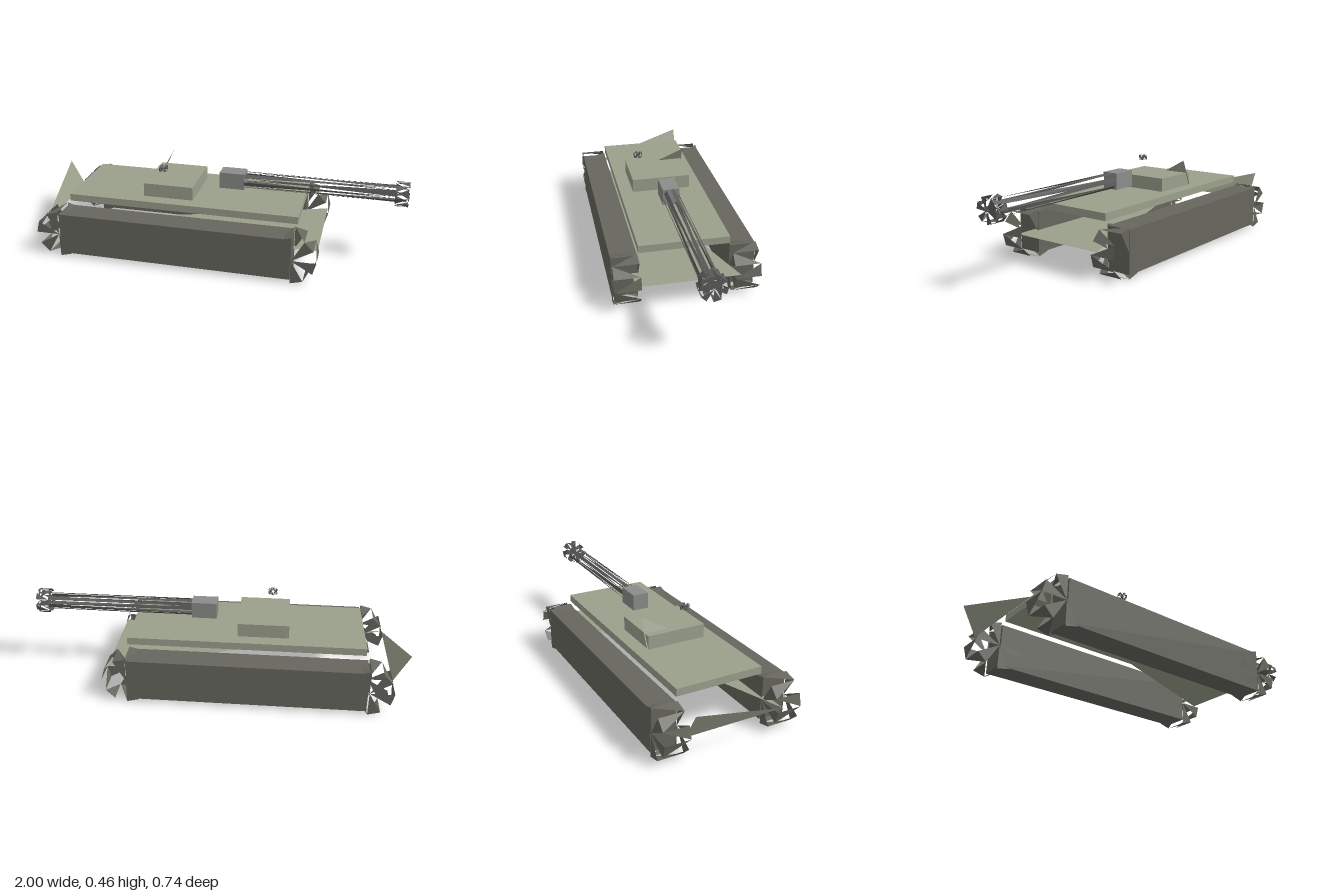
import * as THREE from 'three';

const material = (color) => new THREE.MeshStandardMaterial({ color, flatShading: true, side: THREE.DoubleSide });
const armour = material(0x9ba08c);
const trackGrey = material(0x66665e);
const gunGrey = material(0x5c5c5a);
const mantletGrey = material(0x8a8d8a);

// Box given by its min and max corners
function box(name, min, max, mat) {
  const size = max.map((v, i) => v - min[i]);
  const mesh = new THREE.Mesh(new THREE.BoxGeometry(...size), mat);
  mesh.position.set(...max.map((v, i) => (v + min[i]) / 2));
  mesh.name = name;
  return mesh;
}

function facets(name, points, mat) {
  const geo = new THREE.BufferGeometry();
  geo.setAttribute('position', new THREE.Float32BufferAttribute(points.flat(), 3));
  geo.computeVertexNormals();
  const mesh = new THREE.Mesh(geo, mat);
  mesh.name = name;
  return mesh;
}

// Open sawtooth drum along z: one triangle per side, cap sectors alternating between the ends
function jaggedDrum(name, radius, length, sides, mat, missing = []) {
  const p = (i, end) => {
    const a = (i / sides) * Math.PI * 2;
    return [Math.cos(a) * radius, Math.sin(a) * radius, end * length / 2];
  };
  const points = [];
  for (let i = 0; i < sides; i++) {
    const end = i % 2 ? 1 : -1;
    points.push(p(i, end), p(i + 1, end), p(i, -end));
    if (!missing.includes(i)) points.push([0, 0, end * length / 2], p(i, end), p(i + 1, end));
  }
  return facets(name, points, mat);
}

export function createModel() {
  const model = new THREE.Group();

  // Tracks: long box with a jagged drum at each end
  for (const side of [1, -1]) {
    const track = new THREE.Group();
    track.name = side > 0 ? 'leftTrack' : 'rightTrack';
    const z = side * 0.302;
    track.add(box('trackBody', [-0.79, 0.02, z - 0.067], [0.45, 0.245, z + 0.067], trackGrey));
    const rear = jaggedDrum('rearDrum', 0.128, 0.134, 12, trackGrey);
    rear.position.set(-0.797, 0.128, z);
    const front = jaggedDrum('frontDrum', 0.128, 0.134, 12, trackGrey, [0, 10]);
    front.position.set(0.453, 0.128, z);
    track.add(rear, front);
    model.add(track);
  }

  // Hull floor and rear plate, each a single triangle
  model.add(facets('hullFloor', [[0.575, 0.145, -0.265], [-0.92, 0.145, 0.265], [0.575, 0.145, 0.265]], armour));
  model.add(facets('rearPlate', [[-1, 0.295, -0.265], [-0.92, 0.145, 0.265], [-0.92, 0.145, -0.265]], armour));

  // Deck, turret and turret fin
  model.add(box('deck', [-0.78, 0.268, -0.232], [0.465, 0.307, 0.232], armour));
  model.add(box('turret', [-0.38, 0.307, -0.16], [-0.11, 0.38, 0.16], armour));
  model.add(facets('turretFin', [[-0.31, 0.455, -0.166], [-0.378, 0.308, -0.166], [-0.34, 0.38, -0.028]], armour));

  // Hatch floating above the turret
  const hatch = jaggedDrum('hatch', 0.025, 0.024, 10, gunGrey);
  hatch.rotation.x = -Math.PI / 2;
  hatch.position.set(-0.285, 0.452, 0.1);
  model.add(hatch);

  // Gun along +x
  model.add(box('mantlet', [0.01, 0.345, -0.045], [0.145, 0.433, 0.043], mantletGrey));
  const barrel = jaggedDrum('barrel', 0.044, 0.8, 12, gunGrey);
  barrel.position.set(0.54, 0.389, 0);
  const muzzle = jaggedDrum('muzzle', 0.065, 0.067, 12, gunGrey, [4]);
  muzzle.position.set(0.966, 0.388, 0);
  for (const part of [barrel, muzzle]) {
    part.rotation.y = Math.PI / 2;
    model.add(part);
  }
  return model;
}
